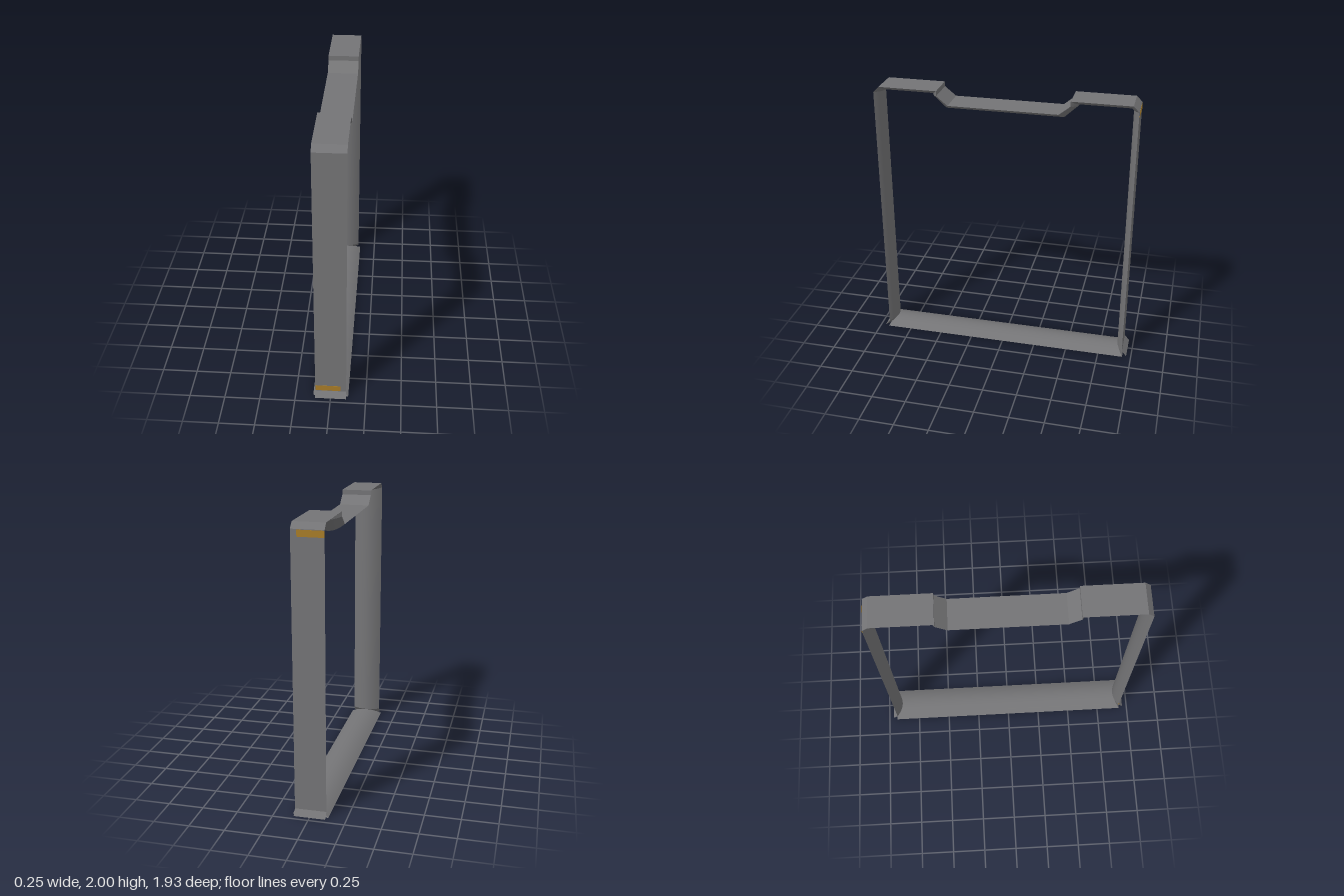
import * as THREE from 'three';

const metal = new THREE.MeshStandardMaterial({ color: 0x747476 });
metal.name = 'grey metal';
const amber = new THREE.MeshStandardMaterial({ color: 0xa87c28 });
amber.name = 'amber marking';

// Each station is [outerZ, outerY, innerZ, innerY]; the section is flat outside, domed inside.
const section = (s, w, steps = 16) => Array.from({ length: steps + 1 }, (_, i) => {
  const u = 1 - (2 * i) / steps, dome = 1 - u * u;
  return [u * w, s[1] + (s[3] - s[1]) * dome, s[0] + (s[2] - s[0]) * dome];
});

function surface(points, index) {
  const g = new THREE.BufferGeometry();
  g.setAttribute('position', new THREE.Float32BufferAttribute(points.flat(), 3));
  g.setIndex(index);
  g.computeVertexNormals();
  return new THREE.Mesh(g, metal);
}

// One straight piece: smooth dome, flat outer face, optional end caps
function bar(name, a, b, w, capA = false, capB = false) {
  const group = new THREE.Group();
  group.name = name;
  const A = section(a, w), B = section(b, w), n = A.length, dome = [];
  for (let i = 0; i < n - 1; i++) dome.push(i, i + 1, n + i + 1, i, n + i + 1, n + i);
  const add = (part, mesh) => { mesh.name = part; group.add(mesh); };
  add('innerDome', surface([...A, ...B], dome));
  add('outerFace', surface([A[n - 1], A[0], B[0], B[n - 1]], [0, 1, 2, 0, 2, 3]));
  const fan = (flip) => {
    const idx = [];
    for (let i = 1; i < n - 1; i++) idx.push(0, flip ? i + 1 : i, flip ? i : i + 1);
    return idx;
  };
  if (capA) add('startCap', surface(A, fan(true)));
  if (capB) add('endCap', surface(B, fan(false)));
  return group;
}

export function createModel() {
  const model = new THREE.Group();
  model.name = 'frame';

  // Front foot, leg, corner, shoulder, step and slope, then mirrored to the back
  const half = [
    [0.965, 0, 0.92, 0],
    [0.93, 0.04, 0.885, 0.045],
    [0.93, 1.96, 0.885, 1.945],
    [0.89, 2.0, 0.87, 1.955],
    [0.47, 2.0, 0.52, 1.955],
    [0.47, 1.965, 0.515, 1.945],
    [0.39, 1.9, 0.42, 1.855],
  ];
  const path = [...half, ...half.map(([z, y, iz, iy]) => [-z, y, -iz, iy]).reverse()];
  const names = ['Foot', 'Leg', 'Corner', 'Shoulder', 'Step', 'Slope'];
  const last = path.length - 2;
  for (let i = 0; i <= last; i++) {
    const name = i < 6 ? 'front' + names[i] : i === 6 ? 'loweredTopBar' : 'back' + names[last - i];
    model.add(bar(name, path[i], path[i + 1], 0.11, i === 0, i === last));
  }

  // Wider bottom bar
  model.add(bar('bottomBar', [-0.935, 0, -0.89, 0.042], [0.935, 0, 0.89, 0.042], 0.125, true, true));

  // Markings on the outer leg faces
  for (const [name, y, z] of [['frontMarking', 0.066, 0.93], ['backMarking', 1.934, -0.93]]) {
    const plate = new THREE.Mesh(new THREE.BoxGeometry(0.178, 0.044, 0.004), amber);
    plate.name = name;
    plate.position.set(-0.02, y, z);
    model.add(plate);
  }
  return model;
}
